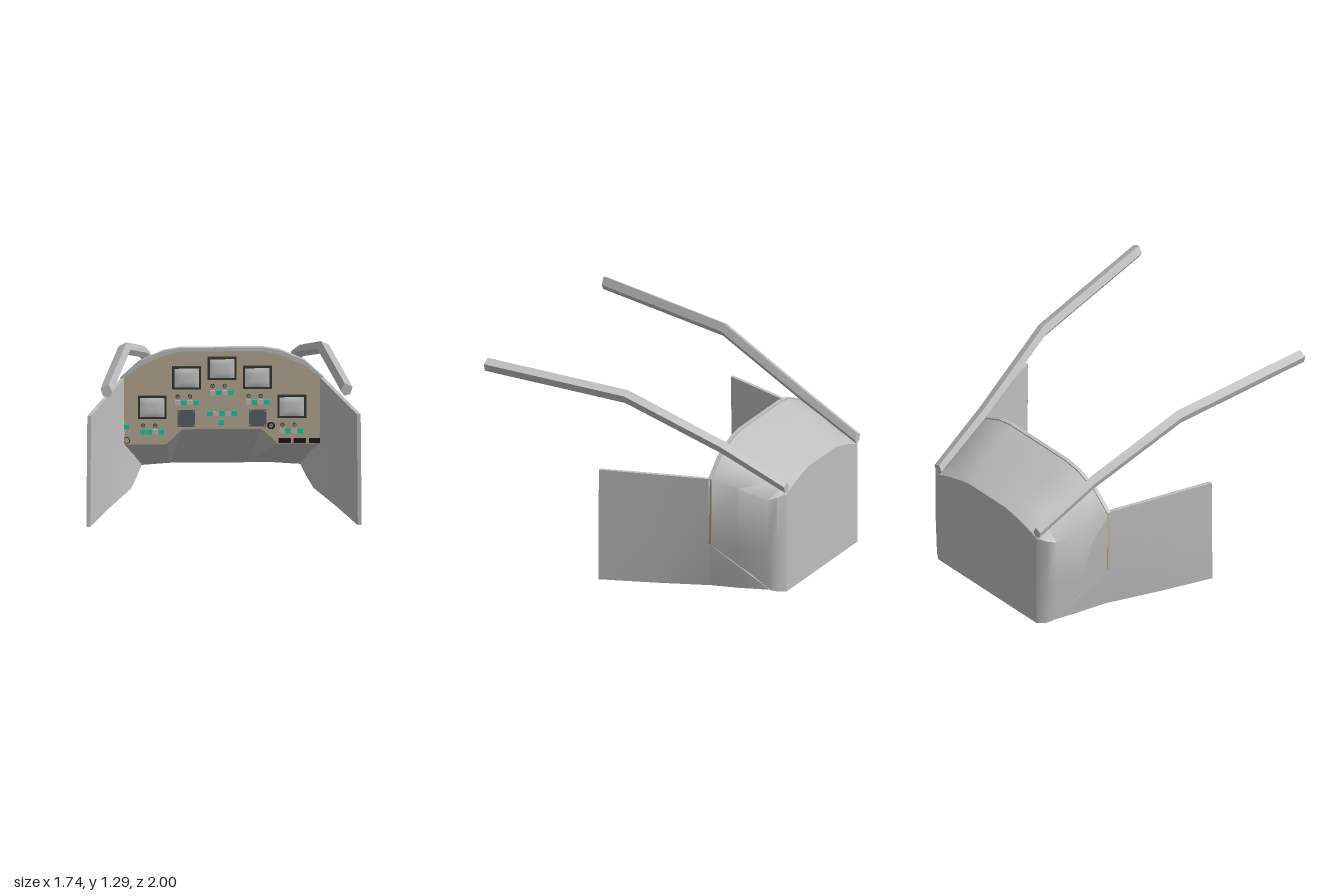
import * as THREE from 'three';
import { toCreasedNormals } from 'three/addons/utils/BufferGeometryUtils.js';

const mat = (name, color, side = THREE.FrontSide) => {
  const m = new THREE.MeshStandardMaterial({ color, side });
  m.name = name;
  return m;
};

// Skin joining rings of [x, y, z] points, with optional wrap and end caps
function loft(rings, { closed = false, caps = [], crease = 0.9 } = {}) {
  const n = rings[0].length, pos = [];
  const tri = (a, b, c) => pos.push(...a, ...b, ...c);
  for (let i = 0; i < rings.length - 1; i++) {
    for (let j = 0; j < (closed ? n : n - 1); j++) {
      const k = (j + 1) % n;
      const a = rings[i][j], b = rings[i][k], c = rings[i + 1][k], d = rings[i + 1][j];
      tri(a, b, c);
      tri(a, c, d);
    }
  }
  for (const end of caps) {
    const r = end === 0 ? [...rings[0]].reverse() : rings[rings.length - 1];
    for (let j = 1; j < n - 1; j++) tri(r[0], r[j], r[j + 1]);
  }
  const g = new THREE.BufferGeometry();
  g.setAttribute('position', new THREE.Float32BufferAttribute(pos, 3));
  return toCreasedNormals(g, crease);
}

// Half outline on +x, completed with its mirror image
const mirrored = (pts) => [...pts, ...[...pts].reverse().map(([x, ...rest]) => [-x, ...rest])];
const shapeOf = (pts) => new THREE.Shape(pts.map(([x, y]) => new THREE.Vector2(x, y)));

export function createModel() {
  const root = new THREE.Group();
  root.name = 'cockpit';
  const grey = mat('bodyGrey', 0xbebebe, THREE.DoubleSide);
  const tan = mat('panelTan', 0xb8aa94);
  const dark = mat('bezelDark', 0x35372f);
  const glass = mat('screenGrey', 0xc6c8c6);
  const slate = mat('gaugeSlate', 0x596068);
  const teal = mat('buttonTeal', 0x12cfa0);
  const pale = mat('buttonGrey', 0xbfbdb9);
  const black = mat('placardBlack', 0x191a18);
  const knobTan = mat('knobBrown', 0x8a8070);

  const add = (name, geometry, material, x = 0, y = 0, z = 0, parent = root) => {
    const m = new THREE.Mesh(geometry, material);
    m.name = name;
    m.position.set(x, y, z);
    parent.add(m);
    return m;
  };

  // Nose shell: hood, flanks and rounded back corners
  const station = (z, pts) => mirrored(pts.map(([x, y]) => [x, y, z]));
  const shell = [
    station(-0.54, [[0.6, 0], [0.64, 0.3], [0.642, 0.745], [0.52, 0.862], [0.363, 0.932], [0.256, 0.95]]),
    station(-0.73, [[0.56, 0.006], [0.593, 0.3], [0.598, 0.7], [0.475, 0.8], [0.33, 0.86], [0.23, 0.876]]),
    station(-0.91, [[0.525, 0.02], [0.542, 0.3], [0.545, 0.64], [0.425, 0.728], [0.29, 0.775], [0.2, 0.793]]),
    station(-0.965, [[0.505, 0.01], [0.518, 0.3], [0.518, 0.66], [0.4, 0.713], [0.275, 0.753], [0.185, 0.77]]),
    station(-1, [[0.455, 0], [0.455, 0.3], [0.455, 0.67], [0.35, 0.71], [0.25, 0.738], [0.17, 0.755]]),
  ];
  add('noseShell', loft(shell), grey);
  add('backWall', new THREE.ShapeGeometry(shapeOf(shell[4])), grey, 0, 0, -1);

  // Sloping underside of the dashboard
  const underFront = mirrored([[0.64, 0.3, -0.54], [0.35, 0.3, -0.54], [0.25, 0.4, -0.54]]);
  const underBack = mirrored([[0.52, 0.012, -0.93], [0.32, 0, -1], [0.17, 0, -1]]);
  add('dashUnderside', loft([underFront, underBack], { crease: 0.2 }), grey);

  // Side walls reaching forward, and the canopy struts
  const wallStations = [
    [0.13, 0.868, 0.866, 0.862, 0.75, 0],
    [-0.2, 0.742, 0.755, 0.754, 0.748, 0],
    [-0.54, 0.6, 0.64, 0.642, 0.745, 0],
    [-0.73, 0.56, 0.593, 0.596, 0.698, 0.006],
    [-0.91, 0.525, 0.542, 0.543, 0.638, 0.02],
  ];
  const t = 0.024;
  const strutSection = [[0.035, 0.015], [-0.016, 0.04], [-0.04, -0.01], [-0.02, -0.045], [0.02, -0.035]];
  const strutPath = [
    [0.76, 1.25, 1, 1], [0.628, 1.178, 0.06, 1],
    [0.505, 0.915, -0.57, 0.95], [0.46, 0.715, -1, 0.85],
  ];
  for (const [side, s] of [['left', 1], ['right', -1]]) {
    const wall = wallStations.map(([z, xb, xm, xt, top, bottom]) => [
      [xb, bottom], [xm, 0.3], [xt, top], [xt - t, top], [xm - t, 0.3], [xb - t, bottom],
    ].map(([x, y]) => [s * x, y, z]));
    add(side + 'Wall', loft(wall, { closed: true, caps: [0, 1] }), grey);

    const strut = strutPath.map(([x, y, z, k]) =>
      strutSection.map(([dx, dy]) => [s * (x + dx * k), y + dy * k, z]));
    // the knee lies slightly further back
    strut[1].forEach((p) => { p[2] = 0.06; });
    add(side + 'CanopyStrut', loft(strut, { closed: true, caps: [0, 1], crease: 0.35 }), grey);
  }

  // Instrument panel and hood rim
  const outer = [[0.642, 0.745], [0.52, 0.862], [0.363, 0.932], [0.256, 0.95]];
  const inner = [[0.64, 0.735], [0.516, 0.828], [0.363, 0.9], [0.256, 0.926]];
  const panel = mirrored([[0.25, 0.4], [0.35, 0.3], [0.64, 0.3], ...inner]);
  const extrude = (pts, depth) => new THREE.ExtrudeGeometry(shapeOf(pts), { depth, bevelEnabled: false });
  add('instrumentPanel', extrude(panel, 0.02), tan, 0, 0, -0.56);
  const rim = [...mirrored(outer), ...mirrored(inner).reverse()];
  add('hoodRim', extrude(rim, 0.025), grey, 0, 0, -0.562);

  const face = -0.54;
  const box = (name, w, h, d, m, x, y) => add(name, new THREE.BoxGeometry(w, h, d), m, x, y, face + d / 2);

  // Bulging screens in dark bezels
  const bulge = new THREE.PlaneGeometry(0.154, 0.127, 8, 8);
  const p = bulge.attributes.position;
  for (let i = 0; i < p.count; i++) {
    const u = p.getX(i) / 0.077, v = p.getY(i) / 0.0635;
    p.setZ(i, 0.008 * (1 - u ** 4) * (1 - v ** 4));
  }
  bulge.computeVertexNormals();
  for (const [x, y] of [[0, 0.812], [-0.223, 0.75], [0.223, 0.75], [-0.44, 0.553], [0.44, 0.553]]) {
    box('screenBezel', 0.182, 0.153, 0.012, dark, x, y);
    add('screen', bulge, glass, x, y, face + 0.0125);
  }

  // Small round controls
  const disc = (name, r, d, m, x, y, z = face) => {
    const k = add(name, new THREE.CylinderGeometry(r, r, d, 16), m, x, y, z + d / 2);
    k.rotation.x = Math.PI / 2;
  };
  const knob = (x, y, r = 0.013) => {
    disc('knobBase', r, 0.006, dark, x, y);
    disc('knob', r * 0.7, 0.012, knobTan, x, y);
  };
  for (const [x, y] of [[-0.28, 0.623], [-0.06, 0.693], [0.167, 0.623], [-0.498, 0.428], [0.38, 0.428]]) {
    knob(x, y);
    knob(x + 0.077, y);
  }
  const ring = (name, x, y, r, tube, m) => add(name, new THREE.TorusGeometry(r, tube, 8, 24), m, x, y, face + 0.004);
  ring('blackRing', 0.31, 0.423, 0.02, 0.005, black);
  disc('ringCentre', 0.018, 0.004, knobTan, 0.31, 0.423);
  ring('cornerDialRing', -0.602, 0.33, 0.019, 0.003, dark);
  disc('cornerDial', 0.018, 0.006, tan, -0.602, 0.33);

  // Square gauges with a round face and corner screws
  for (const x of [-0.225, 0.225]) {
    box('gaugePlate', 0.112, 0.112, 0.006, slate, x, 0.475);
    disc('gaugeFace', 0.05, 0.008, slate, x, 0.475);
    for (const i of [-1, 1]) for (const j of [-1, 1]) {
      disc('gaugeScrew', 0.007, 0.009, knobTan, x + i * 0.047, 0.475 + j * 0.047);
    }
  }

  // Rows of square buttons: first x, y, colour pattern (t = teal, g = grey)
  const rows = [
    [-0.28, 0.581, 'gtgt'], [0.167, 0.581, 'gtgt'], [-0.06, 0.647, 'gtgt'],
    [-0.077, 0.507, 'tgtgt'], [-0.005, 0.447, 't'], [-0.602, 0.423, 't'],
    [-0.498, 0.386, 'ttgt'], [0.378, 0.386, 'gtgt'],
  ];
  for (const [x, y, pattern] of rows) {
    [...pattern].forEach((c, i) => box('button', 0.033, 0.032, 0.007, c === 't' ? teal : pale, x + i * 0.0385, y));
  }

  // Dark placards at the lower left
  for (const x of [0.395, 0.49, 0.588]) box('placard', 0.077, 0.032, 0.005, black, x, 0.32);

  return root;
}
